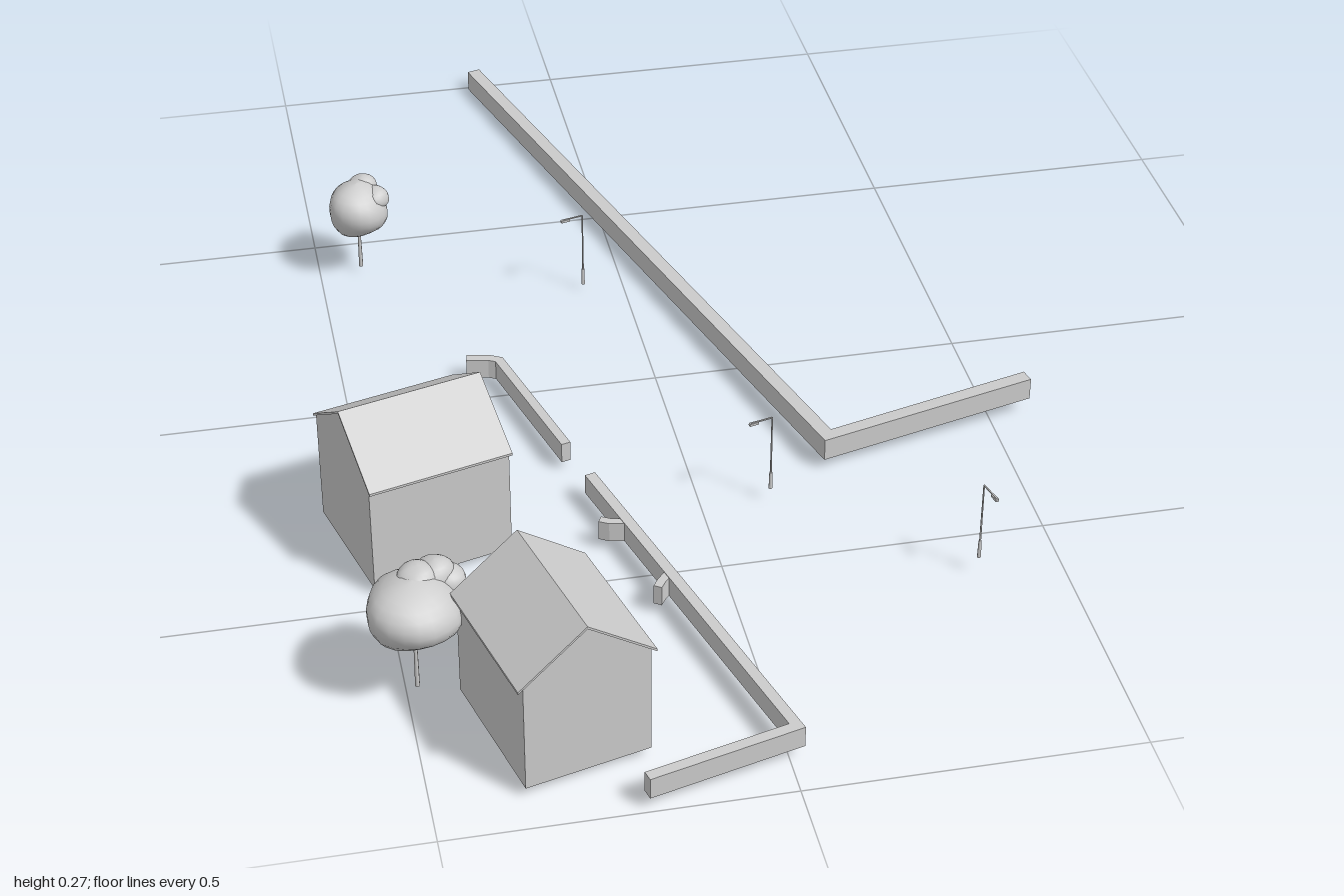
import * as THREE from 'three';

const grey = new THREE.MeshStandardMaterial({ color: 0xcccccc, side: THREE.DoubleSide });

function add(parent, name, geometry, x = 0, y = 0, z = 0) {
  const mesh = new THREE.Mesh(geometry, grey);
  mesh.name = name;
  mesh.position.set(x, y, z);
  parent.add(mesh);
  return mesh;
}

function group(parent, name) {
  const g = new THREE.Group();
  g.name = name;
  parent.add(g);
  return g;
}

// Mitred wall following a path of [x, z, base height] points
function wallGeometry(path, width, height) {
  const dir = (a, b) => new THREE.Vector2(b[0] - a[0], b[1] - a[1]).normalize();
  const rings = path.map((p, i) => {
    const d0 = dir(path[Math.max(i - 1, 0)], path[Math.max(i, 1)]);
    const last = path.length - 1;
    const d1 = dir(path[Math.min(i, last - 1)], path[Math.min(i + 1, last)]);
    const n0 = new THREE.Vector2(-d0.y, d0.x);
    const m = n0.clone().add(new THREE.Vector2(-d1.y, d1.x)).normalize();
    m.multiplyScalar(width / 2 / m.dot(n0));
    const [x, z, y] = p;
    return [
      [x - m.x, y, z - m.y], [x + m.x, y, z + m.y],
      [x + m.x, y + height, z + m.y], [x - m.x, y + height, z - m.y],
    ];
  });
  const pos = [];
  const quad = (a, b, c, d) => pos.push(...a, ...b, ...c, ...a, ...c, ...d);
  for (let i = 0; i < rings.length - 1; i++) {
    const r = rings[i], s = rings[i + 1];
    for (let k = 0; k < 4; k++) {
      const n = (k + 1) % 4;
      quad(r[k], r[n], s[n], s[k]);
    }
  }
  const end = rings[rings.length - 1];
  quad(rings[0][3], rings[0][2], rings[0][1], rings[0][0]);
  quad(end[0], end[1], end[2], end[3]);
  const g = new THREE.BufferGeometry();
  g.setAttribute('position', new THREE.Float32BufferAttribute(pos, 3));
  g.computeVertexNormals();
  return g;
}

// Outline extruded along z and centred
function prism(points, depth) {
  const shape = new THREE.Shape(points.map(([x, y]) => new THREE.Vector2(x, y)));
  return new THREE.ExtrudeGeometry(shape, { depth, bevelEnabled: false }).translate(0, 0, -depth / 2);
}

// Gabled house with its ridge along local z
function house(parent, name, { x, z, base, half, length, angle }) {
  const g = group(parent, name);
  const eave = 0.192 - base, ridge = 0.262 - base, t = 0.004;
  const over = half + 0.008, drop = eave - 0.008 * (ridge - eave) / half;
  add(g, 'houseWalls', prism([[-half, 0], [half, 0], [half, eave], [0, ridge], [-half, eave]], length));
  add(g, 'roof', prism([
    [-over, drop], [0, ridge], [over, drop],
    [over, drop + t], [0, ridge + t], [-over, drop + t],
  ], length + 0.004));
  g.position.set(x, base, z);
  g.rotation.y = THREE.MathUtils.degToRad(angle);
}

// Slightly lumpy ball of leaves
function foliage(rx, ry, rz, seed) {
  const g = new THREE.SphereGeometry(1, 20, 14);
  const p = g.attributes.position, v = new THREE.Vector3();
  for (let i = 0; i < p.count; i++) {
    v.fromBufferAttribute(p, i);
    const bump = 1 + 0.05 * Math.sin(3.1 * v.x + seed) * Math.cos(3.7 * v.z + seed)
      + 0.03 * Math.sin(4 * v.y + 2 * v.x + seed);
    v.multiplyScalar(bump);
    p.setXYZ(i, v.x * rx, v.y * ry, v.z * rz);
  }
  g.computeVertexNormals();
  return g;
}

// Tree: trunk, main crown and smaller lobes given as [dx, dy, dz, radius]
function tree(parent, name, { x, y, z, base, radii, lobes }) {
  const g = group(parent, name);
  add(g, 'trunk', new THREE.CylinderGeometry(0.002, 0.0035, y - base, 8), x, (y + base) / 2, z);
  add(g, 'crown', foliage(...radii, 1), x, y, z);
  lobes.forEach(([dx, dy, dz, r], i) =>
    add(g, 'crownLobe', foliage(r, r * 0.85, r, i + 2), x + dx, y + dy, z + dz));
}

// Street lamp whose arm points along (dx, dz)
function lamp(parent, { x, z, base, top, dx, dz }) {
  const g = group(parent, 'streetLamp');
  const h = top - base, reach = 0.036;
  add(g, 'lampPole', new THREE.CylinderGeometry(0.0012, 0.0016, h, 8), 0, h / 2, 0);
  add(g, 'lampBase', new THREE.CylinderGeometry(0.0024, 0.003, 0.03, 8), 0, 0.015, 0);
  add(g, 'lampArm', new THREE.BoxGeometry(reach, 0.002, 0.002), reach / 2, h, 0);
  add(g, 'lampHead', new THREE.BoxGeometry(0.015, 0.004, 0.005), reach - 0.005, h - 0.002, 0);
  g.position.set(x, base, z);
  g.rotation.y = Math.atan2(-dz, dx);
}

export function createModel() {
  const model = new THREE.Group();
  model.name = 'streetScene';

  // Boundary walls on both sides of the sloping road
  const walls = group(model, 'walls');
  add(walls, 'longWall', wallGeometry([[-0.146, -0.997, 0], [0.217, 0.281, 0.018], [0.564, 0.2, 0.027]], 0.023, 0.037));
  add(walls, 'frontWall', wallGeometry([[-0.211, 0.988, 0.021], [0.011, 0.929, 0.021], [-0.163, 0.3, 0.016]], 0.017, 0.034));
  add(walls, 'backWall', wallGeometry([[-0.185, 0.214, 0.015], [-0.25, -0.038, 0.011], [-0.265, -0.046, 0.011], [-0.301, -0.053, 0.011]], 0.015, 0.034));
  add(walls, 'gateStub', wallGeometry([[-0.169, 0.414, 0.017], [-0.155, 0.422, 0.017], [-0.13, 0.427, 0.017]], 0.013, 0.033));
  add(walls, 'gateStub', wallGeometry([[-0.116, 0.59, 0.018], [-0.106, 0.575, 0.018], [-0.092, 0.56, 0.018]], 0.013, 0.033));

  // Houses
  house(model, 'backHouse', { x: -0.436, z: 0.334, base: 0.01, half: 0.104, length: 0.222, angle: 105 });
  house(model, 'frontHouse', { x: -0.306, z: 0.803, base: 0.015, half: 0.095, length: 0.228, angle: 14.5 });

  // Trees
  tree(model, 'backTree', {
    x: -0.43, y: 0.127, z: -0.41, base: 0.012, radii: [0.05, 0.05, 0.051],
    lobes: [[0.03, 0.022, 0.005, 0.023], [0.012, 0.03, -0.02, 0.025]],
  });
  tree(model, 'frontTree', {
    x: -0.485, y: 0.158, z: 0.702, base: 0.02, radii: [0.069, 0.053, 0.069],
    lobes: [[0.01, 0.037, -0.02, 0.03], [0.035, 0.035, -0.03, 0.03], [0.053, 0.025, -0.025, 0.026]],
  });

  // Street lamps
  lamp(model, { x: -0.068, z: -0.28, base: 0.012, top: 0.148, dx: -0.97, dz: 0.24 });
  lamp(model, { x: 0.108, z: 0.356, base: 0.024, top: 0.157, dx: -0.97, dz: 0.24 });
  lamp(model, { x: 0.371, z: 0.59, base: 0.03, top: 0.163, dx: 0.24, dz: 0.97 });

  return model;
}
